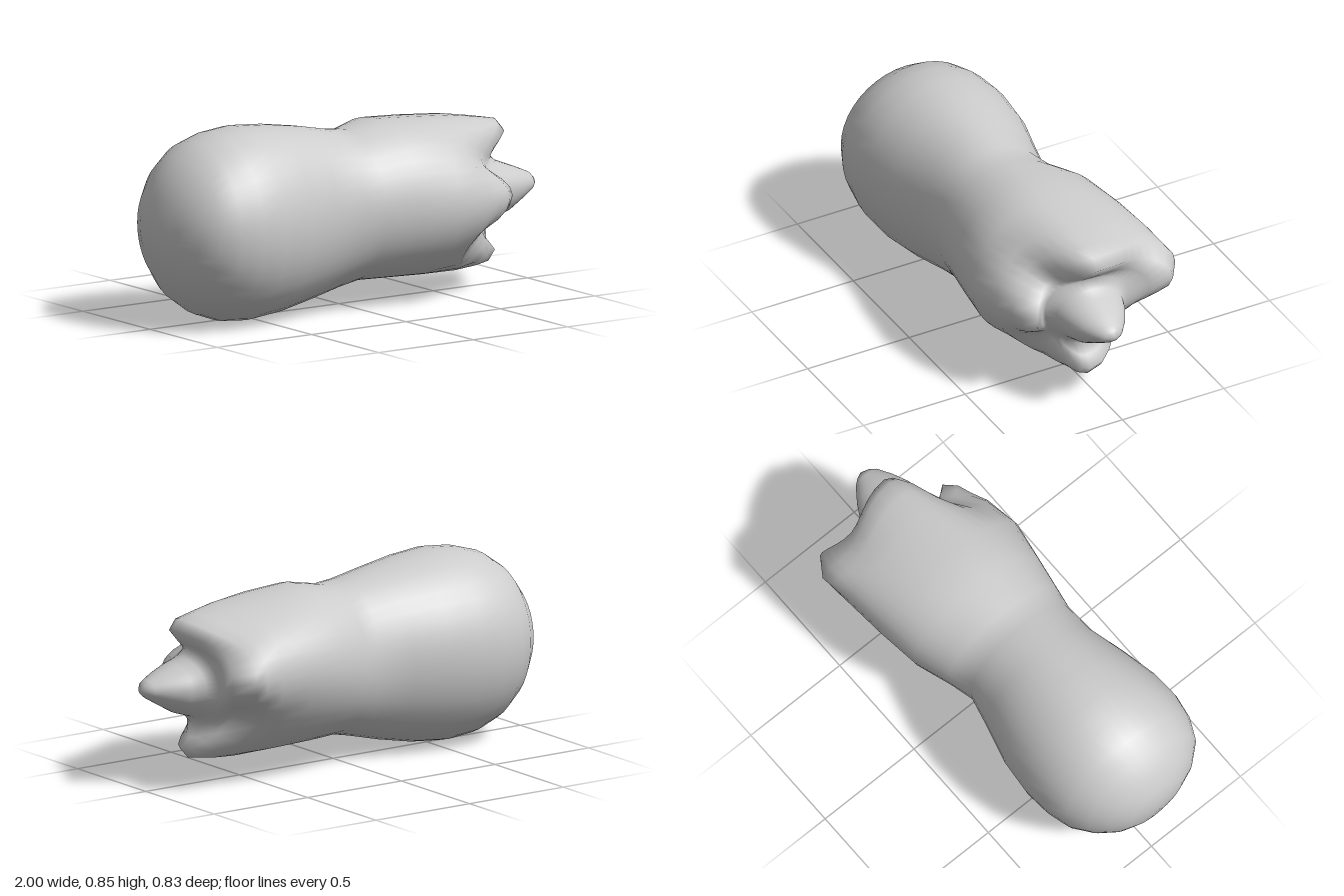
import * as THREE from 'three';

const SEG = 40, CY = 0.44, CZ = 0.035;

// One closed ring: x at [top, front, bottom, back], the four extents, how far x falls back
// and the radius pinches between lobes, and how much the back side is lifted.
function ring([x, top, bottom, front, back, drop = 0, pinch = 0, lift = 0]) {
  const [xt, xf, xb, xn] = Array.isArray(x) ? x : [x, x, x, x];
  const points = [];
  for (let i = 0; i < SEG; i++) {
    const a = (i / SEG) * Math.PI * 2;
    const c = Math.cos(a), s = Math.sin(a);
    // the valley between the top and back lobes is shallower
    const valley = Math.sin(2 * a) ** 2 * (c > 0 && s < 0 ? 0.45 : 1);
    const k = 1 - pinch * valley;
    points.push(
      c * c * (c > 0 ? xt : xb) + s * s * (s > 0 ? xf : xn) - drop * valley,
      CY + k * c * (c > 0 ? top - CY : CY - bottom) + (s < 0 ? lift * s * s : 0),
      CZ + k * s * (s > 0 ? front - CZ : CZ - back)
    );
  }
  return points;
}

// Smooth skin through the rings, closed to a point at both ends.
function loft(rows, startX, endX) {
  const pos = rows.flatMap(ring), index = [];
  const first = pos.length / 3, last = first + 1, end = (rows.length - 1) * SEG;
  pos.push(startX, CY, CZ, endX, CY, CZ);
  for (let i = 0; i < SEG; i++) {
    const j = (i + 1) % SEG;
    for (let r = 0; r < end; r += SEG) {
      index.push(r + i, r + j, r + i + SEG, r + j, r + j + SEG, r + i + SEG);
    }
    index.push(first, j, i, end + i, end + j, last);
  }
  const geo = new THREE.BufferGeometry();
  geo.setAttribute('position', new THREE.Float32BufferAttribute(pos, 3));
  geo.setIndex(index);
  geo.computeVertexNormals();
  return geo;
}

export function createModel() {
  const material = new THREE.MeshStandardMaterial({ color: 0xcccccc });

  // rows: x, top, bottom, front, back, drop, pinch, lift
  const bulb = [
    [-0.997, 0.5, 0.38, 0.1, -0.02],
    [-0.983, 0.575, 0.3, 0.185, -0.1],
    [-0.94, 0.67, 0.2, 0.28, -0.18],
    [-0.875, 0.75, 0.112, 0.355, -0.25],
    [-0.79, 0.808, 0.052, 0.395, -0.308],
    [-0.685, 0.84, 0.014, 0.412, -0.335],
    [-0.56, 0.853, 0.003, 0.405, -0.345],
    [-0.4, 0.841, 0.018, 0.37, -0.33]
  ];
  const waist = [
    [-0.23, 0.815, 0.052, 0.325, -0.285],
    [-0.08, 0.785, 0.09, 0.317, -0.25],
    [0.02, 0.772, 0.112, 0.335, -0.285, 0, 0, 0.02]
  ];
  const sleeve = [
    [0.18, 0.803, 0.107, 0.362, -0.35, 0, 0, 0.05],
    [0.37, 0.79, 0.1, 0.395, -0.38, 0, 0.02, 0.07],
    [[0.58, 0.54, 0.56, 0.56], 0.773, 0.095, 0.37, -0.4, 0.06, 0.07, 0.08],
    [[0.72, 0.62, 0.68, 0.65], 0.75, 0.1, 0.338, -0.412, 0.1, 0.16, 0.08]
  ];
  const lobedRim = [
    [[0.8, 0.68, 0.75, 0.71], 0.735, 0.11, 0.32, -0.42, 0.12, 0.24, 0.08],
    [[0.84, 0.73, 0.79, 0.8], 0.69, 0.155, 0.27, -0.36, 0.13, 0.24, 0.07]
  ];
  const hollow = [
    [[0.79, 0.69, 0.745, 0.77], 0.63, 0.2, 0.225, -0.26, 0.07, 0.13, 0.04],
    [[0.75, 0.68, 0.72, 0.74], 0.595, 0.255, 0.205, -0.18, 0.02, 0.04]
  ];
  const cone = [
    [[0.78, 0.74, 0.75, 0.77], 0.56, 0.295, 0.185, -0.13],
    [0.83, 0.54, 0.322, 0.168, -0.107],
    [0.9, 0.513, 0.362, 0.138, -0.068],
    [0.965, 0.485, 0.4, 0.1, -0.02],
    [0.985, 0.468, 0.415, 0.075, 0.005]
  ];

  const pod = new THREE.Mesh(
    loft([...bulb, ...waist, ...sleeve, ...lobedRim, ...hollow, ...cone], -1, 1),
    material
  );
  pod.name = 'podBody';
  const group = new THREE.Group();
  group.name = 'pod';
  group.add(pod);
  return group;
}
